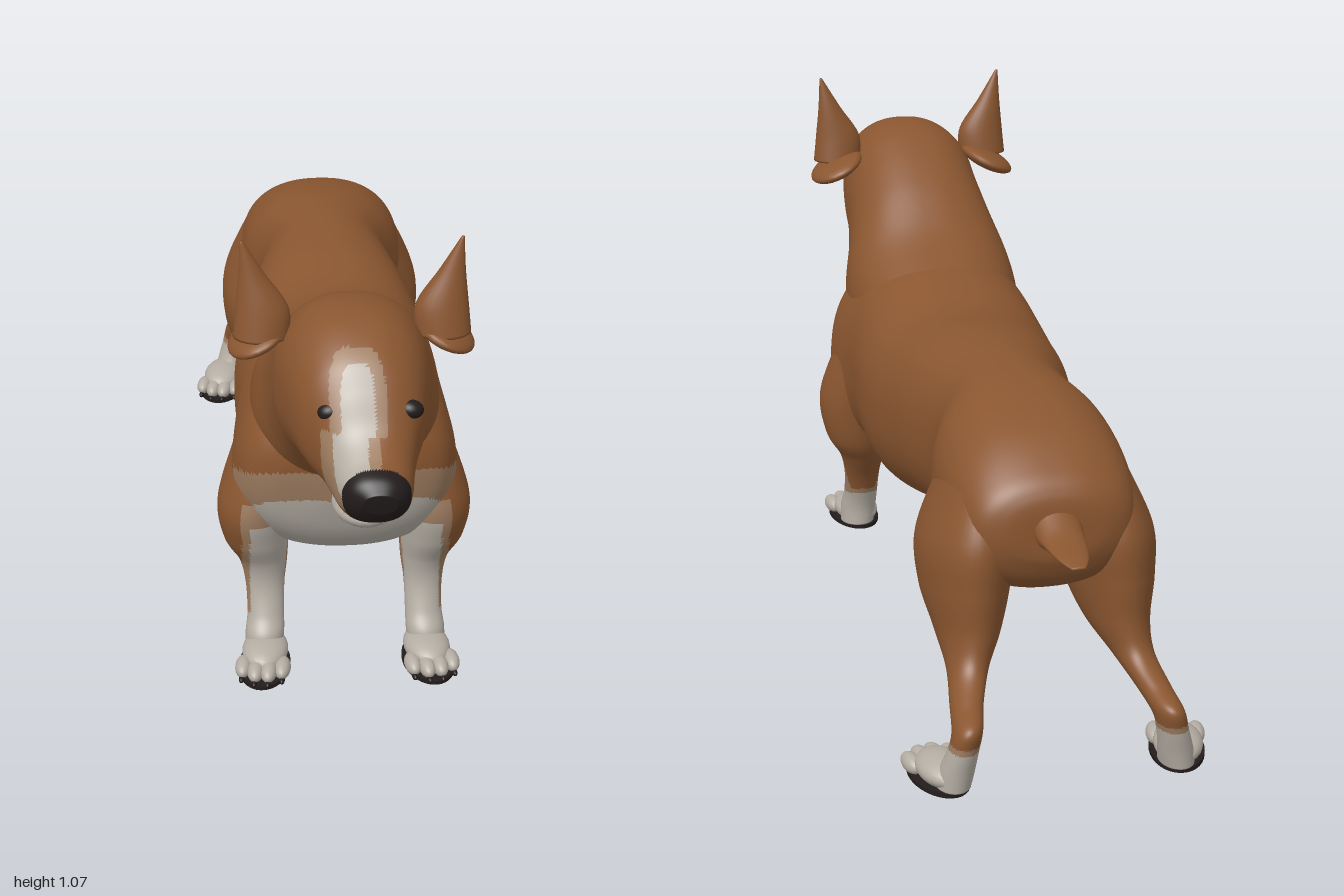
import * as THREE from 'three';

const mat = (name, color) => Object.assign(new THREE.MeshStandardMaterial({ color }), { name });
const brown = mat('brown coat', 0x8a5630);
const tan = mat('tan blend', 0x9d7c60);
const white = mat('white coat', 0xb4ada3);
const black = mat('black skin', 0x231c1c);
const palette = [brown, tan, white, black];
const [BROWN, TAN, WHITE, BLACK] = [0, 1, 2, 3];

const catmull = (a, b, c, d, t) =>
  0.5 * (2 * b + (c - a) * t + (2 * a - 5 * b + 4 * c - d) * t * t + (3 * b - a - 3 * c + d) * t * t * t);

// Smooth skin through sections [z1, y1, z2, y2, halfWidth, x, widthBias]:
// each ring spans from point 1 to point 2 in the side plane and is halfWidth wide.
// rule(x, y, z) picks the palette colour of every face.
function loft(name, sections, { steps = 8, around = 48, power = 2, side = 1, rule = () => BROWN } = {}) {
  const full = sections.map((s) => [0, 1, 2, 3, 4, 5, 6].map((i) => s[i] ?? 0));
  const n = full.length, rings = [], pos = [];
  for (let i = 0; i <= (n - 1) * steps; i++) {
    const k = Math.min(Math.floor(i / steps), n - 2), t = i / steps - k;
    const [a, b, c, d] = [k - 1, k, k + 1, k + 2].map((j) => full[Math.min(Math.max(j, 0), n - 1)]);
    rings.push(a.map((_, j) => catmull(a[j], b[j], c[j], d[j], t)));
  }
  const collapse = (r) => {
    const z = (r[0] + r[2]) / 2, y = (r[1] + r[3]) / 2;
    return [z, y, z, y, 0, r[5], 0];
  };
  rings.unshift(collapse(rings[0]));
  rings.push(collapse(rings[rings.length - 1]));
  const bend = (v) => Math.sign(v) * Math.abs(v) ** (2 / power);
  for (const [z1, y1, z2, y2, w, x, bias] of rings) {
    for (let j = 0; j < around; j++) {
      const a = (j / around) * Math.PI * 2, c = bend(Math.cos(a)), s = bend(Math.sin(a));
      pos.push(side * (x + s * Math.max(w, 0) * (1 + bias * c)),
        (y1 + y2) / 2 + c * (y1 - y2) / 2, (z1 + z2) / 2 + c * (z1 - z2) / 2);
    }
  }
  const buckets = palette.map(() => []);
  const addFace = (a, b, c) => {
    const mid = [0, 1, 2].map((i) => (pos[a * 3 + i] + pos[b * 3 + i] + pos[c * 3 + i]) / 3);
    buckets[rule(mid[0] * side, mid[1], mid[2])].push(...(side > 0 ? [a, b, c] : [a, c, b]));
  };
  for (let i = 0; i < rings.length - 1; i++) {
    for (let j = 0; j < around; j++) {
      const a = i * around + j, b = i * around + (j + 1) % around, c = a + around, d = b + around;
      if (i > 0) addFace(a, c, b);
      if (i < rings.length - 2) addFace(b, c, d);
      else if (i === 0) addFace(b, c, d);
    }
  }
  const geo = new THREE.BufferGeometry();
  geo.setAttribute('position', new THREE.Float32BufferAttribute(pos, 3));
  geo.setIndex(buckets.flat());
  let start = 0;
  buckets.forEach((f, m) => {
    if (f.length) geo.addGroup(start, f.length, m);
    start += f.length;
  });
  geo.computeVertexNormals();
  const mesh = new THREE.Mesh(geo, palette);
  mesh.name = name;
  return mesh;
}

function blob(name, material, [x, y, z], [rx, ry, rz], rotZ = 0) {
  const mesh = new THREE.Mesh(new THREE.SphereGeometry(1, 24, 16), material);
  mesh.name = name;
  mesh.position.set(x, y, z);
  mesh.scale.set(rx, ry, rz);
  mesh.rotation.z = rotZ;
  return mesh;
}

// Paw: instep, four toes with claws, and a dark sole
function paw(name, x, z, side, splay) {
  const g = new THREE.Group();
  g.name = name;
  g.add(blob('instep', white, [0, 0.03, -0.02], [0.05, 0.03, 0.075]));
  for (let i = 0; i < 4; i++) {
    const u = i - 1.5, tz = 0.06 - Math.abs(u) * 0.016;
    g.add(blob('toe', white, [u * 0.028, 0.021, tz], [0.018, 0.019, 0.036]));
    g.add(blob('claw', black, [u * 0.029, 0.009, tz + 0.031], [0.006, 0.007, 0.013]));
  }
  const sole = new THREE.Mesh(new THREE.CylinderGeometry(1, 1, 0.009, 32), black);
  sole.name = 'sole';
  sole.scale.set(0.056, 1, 0.095);
  sole.position.y = 0.0045;
  g.add(sole);
  g.position.set(side * x, 0, z);
  g.rotation.y = side * splay;
  return g;
}

// Coat markings
const oval = (x, y, cx, cy, rx, ry) => ((x - cx) / rx) ** 4 + ((y - cy) / ry) ** 4 < 1;
const bib = (x, y, z) => {
  if (z < 0.4) return BROWN;
  if (oval(x, y, 0, 0.34, 0.205, 0.092)) return WHITE;
  return oval(x, y, 0, 0.375, 0.25, 0.128) ? TAN : BROWN;
};
const face = (x, y, z) => {
  if (z > 0.952 || (y < 0.66 && z > 0.915 && Math.abs(x - 0.025) < 0.05)) return BLACK;
  if (z > 0.45 && z < 0.6 && y < 0.5) return TAN;
  if (z < 0.72 || y < 0.66) return BROWN;
  const cx = y < 0.78 ? -0.02 : -0.003;
  if (oval(x, y, cx, 0.79, 0.033, 0.105)) return WHITE;
  return oval(x, y, cx, 0.785, 0.055, 0.13) ? TAN : BROWN;
};
const foreMark = (x, y, z) => {
  if (y < 0.1 || (z > 0.38 && x < 0.205 && y < 0.34)) return WHITE;
  return y < 0.115 || (z > 0.362 && x < 0.222 && y < 0.4) ? TAN : BROWN;
};
const hindMark = (x, y) => (y < 0.1 ? WHITE : y < 0.113 ? TAN : BROWN);

export function createModel() {
  const dog = new THREE.Group();
  dog.name = 'dog';

  dog.add(loft('torso', [
    [-0.845, 0.52, -0.845, 0.46, 0.03], [-0.835, 0.565, -0.84, 0.42, 0.11],
    [-0.8, 0.605, -0.8, 0.36, 0.165], [-0.7, 0.66, -0.7, 0.32, 0.19],
    [-0.55, 0.695, -0.55, 0.31, 0.19], [-0.4, 0.705, -0.4, 0.315, 0.155],
    [-0.2, 0.7, -0.2, 0.28, 0.195], [0, 0.68, 0, 0.235, 0.225],
    [0.2, 0.715, 0.2, 0.22, 0.225], [0.33, 0.72, 0.31, 0.23, 0.235, 0, -0.1],
    [0.43, 0.7, 0.385, 0.25, 0.235, 0, -0.1], [0.5, 0.63, 0.44, 0.285, 0.21],
    [0.522, 0.56, 0.48, 0.34, 0.16], [0.522, 0.5, 0.51, 0.42, 0.06],
  ], { steps: 10, around: 96, power: 2.3, rule: bib }));

  dog.add(loft('neck and head', [
    [0.05, 0.66, 0.3, 0.3, 0.16], [0.18, 0.71, 0.46, 0.4, 0.195],
    [0.3, 0.765, 0.52, 0.49, 0.195], [0.42, 0.855, 0.575, 0.535, 0.172],
    [0.52, 0.915, 0.63, 0.57, 0.16], [0.6, 0.945, 0.675, 0.6, 0.157],
    [0.7, 0.945, 0.72, 0.615, 0.145, 0.003], [0.79, 0.905, 0.78, 0.62, 0.125, 0.008],
    [0.84, 0.85, 0.83, 0.618, 0.1, 0.015], [0.88, 0.79, 0.875, 0.615, 0.084, 0.02],
    [0.93, 0.755, 0.925, 0.622, 0.073, 0.024], [0.975, 0.738, 0.962, 0.64, 0.058, 0.027],
    [0.997, 0.715, 0.985, 0.67, 0.032, 0.03],
  ], { steps: 10, around: 96, power: 2.3, rule: face }));

  // Lower jaw with a row of teeth
  dog.add(blob('lower jaw', white, [0.015, 0.592, 0.795], [0.066, 0.034, 0.088]));
  for (let i = 0; i < 13; i++) {
    const a = (i / 12) * Math.PI;
    const tooth = new THREE.Mesh(new THREE.ConeGeometry(0.008, 0.03, 8), white);
    tooth.name = 'tooth';
    tooth.position.set(0.015 + Math.cos(a) * 0.056, 0.612, 0.8 + Math.sin(a) * 0.075);
    dog.add(tooth);
  }

  dog.add(loft('tail', [
    [-0.8, 0.47, -0.8, 0.56, 0.05], [-0.85, 0.455, -0.855, 0.525, 0.048],
    [-0.9, 0.472, -0.9, 0.503, 0.042], [-0.96, 0.477, -0.96, 0.492, 0.03],
    [-0.998, 0.478, -0.998, 0.484, 0.014],
  ], { around: 24 }));
  dog.add(blob('belly sheath', brown, [0, 0.292, -0.3], [0.025, 0.022, 0.09]));

  for (const side of [1, -1]) {
    const tag = side > 0 ? 'left' : 'right';

    dog.add(loft(`${tag} front leg`, [
      [0.44, 0.5, 0.22, 0.5, 0.05, 0.175], [0.465, 0.37, 0.25, 0.36, 0.075, 0.195],
      [0.445, 0.28, 0.27, 0.26, 0.07, 0.19], [0.415, 0.215, 0.3, 0.205, 0.052, 0.175],
      [0.41, 0.16, 0.335, 0.15, 0.042, 0.172], [0.43, 0.1, 0.36, 0.09, 0.04, 0.172],
      [0.455, 0.06, 0.37, 0.05, 0.042, 0.175], [0.46, 0.012, 0.37, 0.012, 0.04, 0.178],
    ], { steps: 10, side, rule: foreMark }));
    dog.add(paw(`${tag} front paw`, 0.178, 0.468, side, 0.12));

    dog.add(loft(`${tag} hind leg`, [
      [-0.5, 0.55, -0.78, 0.57, 0.05, 0.13], [-0.46, 0.39, -0.83, 0.46, 0.095, 0.142],
      [-0.5, 0.29, -0.835, 0.36, 0.088, 0.15], [-0.6, 0.225, -0.835, 0.27, 0.065, 0.155],
      [-0.73, 0.18, -0.855, 0.212, 0.042, 0.17], [-0.83, 0.14, -0.92, 0.175, 0.033, 0.19],
      [-0.895, 0.11, -0.985, 0.152, 0.03, 0.203], [-0.9, 0.08, -0.985, 0.105, 0.031, 0.212],
      [-0.89, 0.045, -0.975, 0.05, 0.035, 0.222], [-0.87, 0.012, -0.97, 0.012, 0.036, 0.228],
    ], { steps: 10, side, rule: hindMark }));
    dog.add(paw(`${tag} hind paw`, 0.246, -0.868, side, 0.2));

    // Upright pointed ear with a drooping fold at its base
    dog.add(loft(`${tag} ear`, [
      [0.617, 1.07, 0.611, 1.07, 0.003, 0.215], [0.632, 1, 0.594, 1, 0.026, 0.196],
      [0.65, 0.93, 0.58, 0.93, 0.052, 0.177], [0.662, 0.87, 0.57, 0.87, 0.056, 0.179],
    ], { around: 24, side }));
    dog.add(blob(`${tag} ear fold`, brown, [side * 0.185, 0.858, 0.59], [0.066, 0.022, 0.085], side * -0.45));

    dog.add(blob(`${tag} eye`, black, [0.022 + side * 0.078, 0.808, 0.828], [0.024, 0.018, 0.02], side * -0.2));
  }
  return dog;
}
